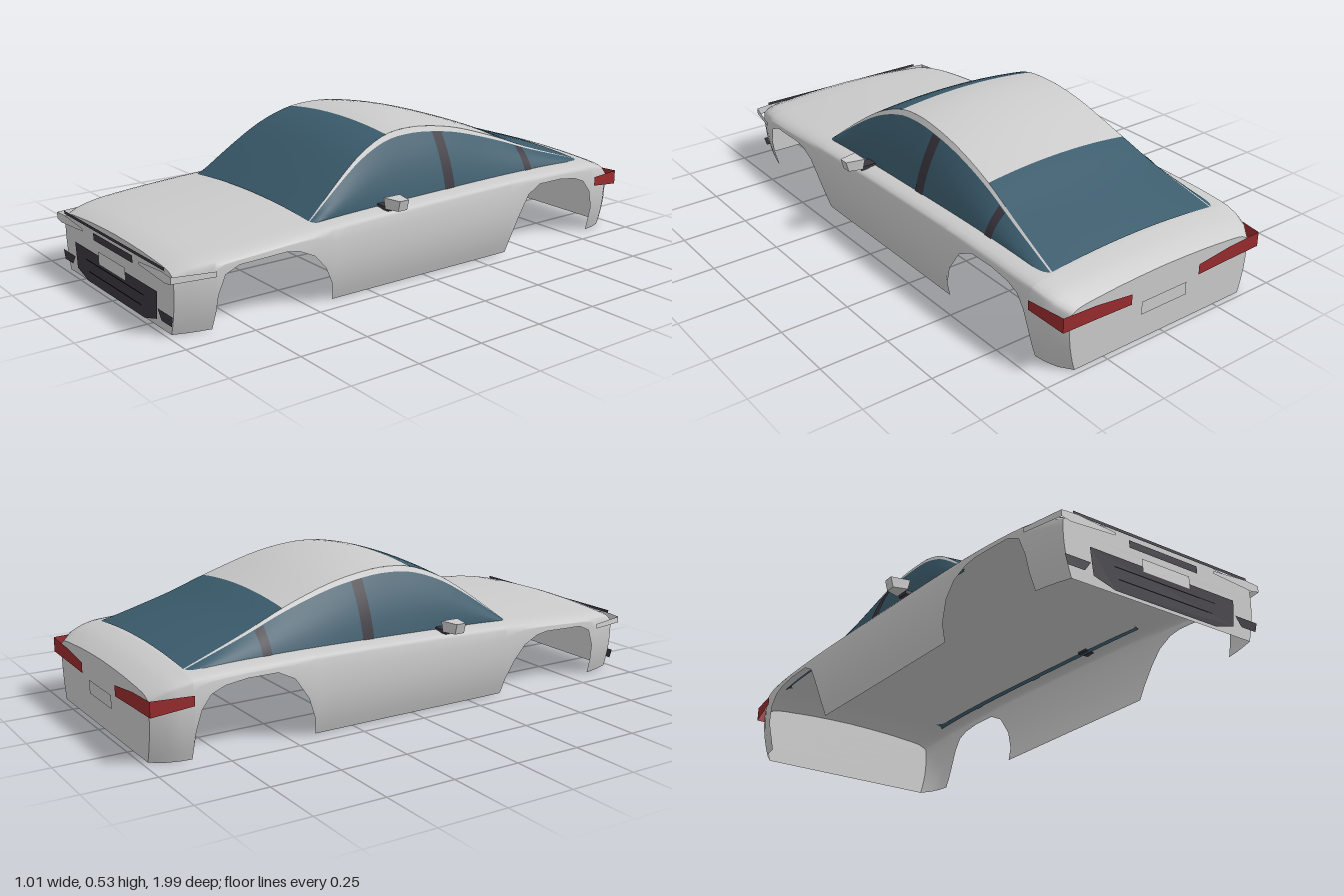
import * as THREE from 'three';

const mat = (name, color) => {
  const m = new THREE.MeshStandardMaterial({ color, side: THREE.DoubleSide });
  m.name = name;
  return m;
};

// Smooth height/width curve through [z, value] points in ascending z
const curve = (pts) => (z) => {
  let i = 0;
  while (i < pts.length - 2 && z > pts[i + 1][0]) i++;
  const slope = (k) => {
    const a = pts[Math.max(k - 1, 0)], b = pts[Math.min(k + 1, pts.length - 1)];
    return (b[1] - a[1]) / (b[0] - a[0]);
  };
  const [z0, v0] = pts[i], [z1, v1] = pts[i + 1], h = z1 - z0, t = (z - z0) / h;
  const t2 = t * t, t3 = t2 * t;
  return (2 * t3 - 3 * t2 + 1) * v0 + (t3 - 2 * t2 + t) * h * slope(i)
    + (3 * t2 - 2 * t3) * v1 + (t3 - t2) * h * slope(i + 1);
};

// Surface through rows of [x, y, z] points
const grid = (rows) => {
  const n = rows[0].length, index = [];
  for (let r = 0; r < rows.length - 1; r++) {
    for (let c = 0; c < n - 1; c++) {
      const a = r * n + c, b = a + 1, d = a + n, e = d + 1;
      index.push(a, d, b, b, d, e);
    }
  }
  const g = new THREE.BufferGeometry();
  g.setAttribute('position', new THREE.Float32BufferAttribute(rows.flat(2), 3));
  g.setIndex(index);
  g.computeVertexNormals();
  return g;
};

const range = (a, b, n) => Array.from({ length: n + 1 }, (_, i) => a + (b - a) * i / n);
const lerp = THREE.MathUtils.lerp;

// Body plan, deck height and lower edge with wheel arches
const halfWidth = curve([[-0.98, 0.397], [-0.93, 0.433], [-0.85, 0.451], [-0.6, 0.458], [0, 0.457],
  [0.6, 0.455], [0.8, 0.446], [0.9, 0.428], [0.98, 0.4]]);
const deckY = curve([[-0.98, 0.235], [-0.93, 0.262], [-0.84, 0.284], [-0.5, 0.293], [0, 0.286],
  [0.45, 0.273], [0.8, 0.252], [0.93, 0.238], [0.98, 0.222]]);
const lowerEdge = [[-0.98, 0], [-0.85, 0], [-0.845, 0.1], [-0.825, 0.17], [-0.79, 0.215], [-0.74, 0.235],
  [-0.66, 0.245], [-0.55, 0.245], [-0.49, 0.215], [-0.44, 0.14], [-0.41, 0.06], [-0.4, 0],
  [0.4, 0], [0.41, 0.06], [0.445, 0.13], [0.49, 0.18], [0.55, 0.208], [0.6, 0.215], [0.77, 0.208],
  [0.82, 0.185], [0.845, 0.12], [0.85, 0.06], [0.855, 0], [0.98, 0]];

// Half cross-section of the body, sill to centreline
const halfSection = (z, y0) => {
  const w = halfWidth(z), top = deckY(z), pts = [];
  for (const y of range(y0, top - 0.03, 7)) {
    const k = y < 0.16 ? 1 - 0.065 * ((0.16 - y) / 0.16) ** 2 : 1 - 0.015 * ((y - 0.16) / 0.08) ** 2;
    pts.push([w * k, y, z]);
  }
  for (const [k, dy] of [[0.965, -0.021], [0.93, -0.014], [0.88, -0.009], [0.8, -0.005], [0.5, 0.004], [0.25, 0.008], [0, 0.01]]) {
    pts.push([w * k, top + dy, z]);
  }
  return pts;
};
const flip = ([x, y, z]) => [-x, y, z];

// Cabin curves
const roofY = curve([[-0.84, 0.3], [-0.6, 0.378], [-0.45, 0.435], [-0.26, 0.495], [-0.125, 0.52], [-0.02, 0.526],
  [0.08, 0.515], [0.195, 0.47], [0.3, 0.402], [0.45, 0.288]]);
const roofX = curve([[-0.84, 0.352], [-0.45, 0.303], [-0.15, 0.293], [0.07, 0.297], [0.45, 0.365]]);
const roofPanel = (z0, z1) => grid(range(z0, z1, 14).map((z) => range(-1, 1, 12).map((u) =>
  [u * roofX(z), roofY(z) - 0.02 * u * u, z])));
// Side of the cabin; v runs from the roof edge (0) to the belt line (1)
const cabinSide = (s, z0, z1, v0, v1, out = 0) => grid(range(z0, z1, 36).map((z) => range(v0, v1, 6).map((v) =>
  [s * (lerp(roofX(z), 0.387, v) + 0.012 * Math.sin(Math.PI * v) + out),
    lerp(roofY(z) - 0.02, deckY(z) - 0.02, v), z])));

const plate = (pts, z) => new THREE.ShapeGeometry(
  new THREE.Shape(pts.map(([x, y]) => new THREE.Vector2(x, y)))).translate(0, 0, z);
const rect = (hx, y0, y1, z) => plate([[-hx, y0], [hx, y0], [hx, y1], [-hx, y1]], z);

export function createModel() {
  const car = new THREE.Group();
  car.name = 'car';
  const paint = mat('silver paint', 0xcbcbcb);
  const glass = mat('blue glass', 0x3b5c6d);
  const trim = mat('dark trim', 0x39363e);
  const black = mat('black', 0x17171b);
  const red = mat('red lens', 0x9a2c2e);
  const lens = mat('clear lens', 0xd2d2d2);
  const add = (name, geometry, material) => {
    const m = new THREE.Mesh(geometry, material);
    m.name = name;
    car.add(m);
    return m;
  };

  // Body shell, open underneath
  const stations = [];
  lowerEdge.forEach(([z, y], i) => {
    if (i) {
      const [pz, py] = lowerEdge[i - 1], n = Math.max(1, Math.ceil((z - pz) / 0.06));
      for (let k = 1; k < n; k++) stations.push([lerp(pz, z, k / n), lerp(py, y, k / n)]);
    }
    stations.push([z, y]);
  });
  add('bodyShell', grid(stations.map(([z, y]) => {
    const half = halfSection(z, y);
    return [...half, ...half.slice(0, -1).reverse().map(flip)];
  })), paint);
  for (const [name, z] of [['nosePanel', 0.98], ['tailPanel', -0.98]]) {
    add(name, grid(halfSection(z, 0).map((p) => (z > 0 ? [flip(p), p] : [p, flip(p)]))), paint);
  }

  // Roof and screens
  add('windshield', roofPanel(0.07, 0.45), glass);
  add('roof', roofPanel(-0.45, 0.07), paint);
  add('rearWindow', roofPanel(-0.84, -0.45), glass);

  for (const s of [1, -1]) {
    const side = s > 0 ? 'left' : 'right';
    // Side glass, roof rail and window pillars
    add(side + 'SideWindow', cabinSide(s, -0.84, 0.45, 0.08, 1), glass);
    add(side + 'RoofRail', cabinSide(s, -0.84, 0.45, 0, 0.08), paint);
    add(side + 'DoorPillar', cabinSide(s, -0.18, -0.135, 0.08, 1, 0.003), trim);
    add(side + 'RearPillar', cabinSide(s, -0.57, -0.535, 0.08, 1, 0.003), trim);

    // Wing mirror: tapered housing on a stalk
    add(side + 'MirrorStalk', new THREE.BoxGeometry(0.07, 0.014, 0.045).translate(s * 0.408, 0.277, 0.152), trim);
    const housing = new THREE.BoxGeometry(0.07, 0.038, 0.07);
    const p = housing.attributes.position;
    for (let i = 0; i < p.count; i++) {
      const outer = p.getX(i) * s > 0, low = p.getY(i) < 0;
      if (outer) p.setZ(i, p.getZ(i) * 0.55);
      if (low) p.setX(i, p.getX(i) * 0.72);
    }
    housing.translate(s * 0.469, 0.3, 0.152);
    housing.computeVertexNormals();
    add(side + 'MirrorHousing', housing, paint);

    // Headlight wrapping round the corner
    add(side + 'Headlight', plate([[0.21, 0.19], [0.385, 0.178], [0.42, 0.185], [0.42, 0.208], [0.36, 0.212], [0.21, 0.2]]
      .map(([x, y]) => [s * x, y]), 1.0), lens);
    add(side + 'HeadlightSide', grid([[[s * 0.42, 0.208, 1], [s * 0.42, 0.185, 1]],
      [[s * 0.45, 0.205, 0.855], [s * 0.45, 0.187, 0.855]]]), lens);
    add(side + 'FogVent', plate([[0.305, 0.07], [0.33, 0.036], [0.395, 0.036], [0.405, 0.07]]
      .map(([x, y]) => [s * x, y]), 0.99), trim);

    // Tail light wrapping round the corner
    add(side + 'TailLight', plate([[0.15, 0.16], [0.3, 0.165], [0.435, 0.168], [0.435, 0.222], [0.3, 0.216], [0.15, 0.198]]
      .map(([x, y]) => [s * x, y]), -0.993), red);
    add(side + 'TailLightSide', grid([[[s * 0.435, 0.222, -0.993], [s * 0.435, 0.168, -0.993]],
      [[s * 0.456, 0.222, -0.85], [s * 0.456, 0.188, -0.85]]]), red);
  }

  // Front details
  add('noseStrip', rect(0.37, 0.213, 0.224, 0.994), trim);
  add('upperGrille', rect(0.145, 0.174, 0.2, 0.99), trim);
  add('lowerGrille', plate([[-0.305, 0.125], [-0.295, 0.03], [-0.21, 0.006], [0.21, 0.006], [0.295, 0.03], [0.305, 0.125]], 0.988), trim);
  add('grilleSlatUpper', rect(0.213, 0.084, 0.088, 0.991), black);
  add('grilleSlatLower', rect(0.198, 0.044, 0.048, 0.991), black);
  add('frontPlate', rect(0.1, 0.1, 0.146, 0.996), lens);
  add('rearPlate', rect(0.1, 0.1, 0.148, -0.988), paint);
  return car;
}
